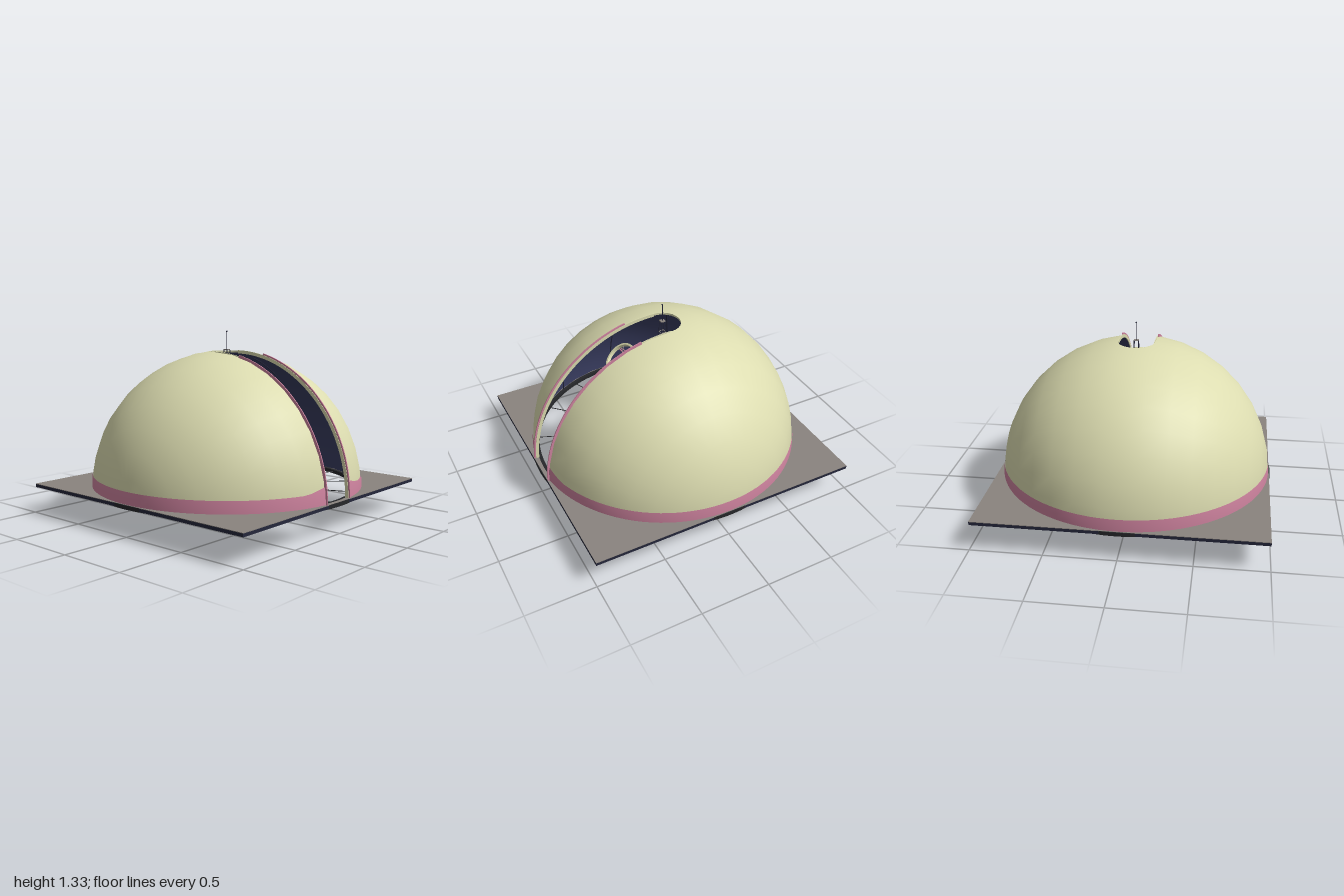
import * as THREE from 'three';

const mat = (name, color, side = THREE.FrontSide) => {
  const m = new THREE.MeshStandardMaterial({ color, side });
  m.name = name;
  return m;
};

export function createModel() {
  const cream = mat('cream', 0xdcdcb0, THREE.DoubleSide);
  const pink = mat('pink', 0xd084a0);
  const navy = mat('navy', 0x3a3e62);
  const darkNavy = mat('darkNavy', 0x25273c);
  const black = mat('charcoal', 0x26272a);
  const gray = mat('gray', 0x8a847f);
  const green = mat('green', 0x4f9a6c);
  const yellow = mat('yellow', 0xc8982c);

  const root = new THREE.Group();
  root.name = 'observatory';
  const add = (name, geo, material, parent = root, x = 0, y = 0, z = 0) => {
    const m = new THREE.Mesh(geo, material);
    m.name = name;
    m.position.set(x, y, z);
    parent.add(m);
    return m;
  };
  const box = (name, m, w, h, d, x, y, z, p = root) => add(name, new THREE.BoxGeometry(w, h, d), m, p, x, y, z);
  const rod = (name, m, a, b, r, p = root) => {
    const A = new THREE.Vector3(...a), B = new THREE.Vector3(...b);
    const mesh = add(name, new THREE.CylinderGeometry(r, r, A.distanceTo(B), 6), m, p);
    mesh.position.copy(A).lerp(B, 0.5);
    mesh.quaternion.setFromUnitVectors(new THREE.Vector3(0, 1, 0), B.sub(A).normalize());
    return mesh;
  };
  // Ring of rectangular section around the y axis
  const ring = (name, m, r0, r1, y0, y1, p = root, seg = 72) => {
    const pts = [[r0, y0], [r1, y0], [r1, y1], [r0, y1], [r0, y0]].map(q => new THREE.Vector2(...q));
    const g = new THREE.LatheGeometry(pts, seg).toNonIndexed();
    g.computeVertexNormals();
    return add(name, g, m, p);
  };

  const R = 0.985, RI = 0.97, CY = 0.2, S = 0.13;

  // Surface from a rule f(u, v), with normals radial to the dome centre
  const grid = (f, nu, nv, inward = false) => {
    const pos = [], nor = [], idx = [];
    for (let i = 0; i <= nu; i++) for (let j = 0; j <= nv; j++) {
      const p = f(i / nu, j / nv);
      pos.push(p.x, p.y, p.z);
      const n = p.clone().setY(p.y - CY).normalize().multiplyScalar(inward ? -1 : 1);
      nor.push(n.x, n.y, n.z);
      if (i < nu && j < nv) {
        const a = i * (nv + 1) + j, b = a + nv + 1;
        if (inward) idx.push(a, b + 1, b, a, a + 1, b + 1);
        else idx.push(a, b, b + 1, a, b + 1, a + 1);
      }
    }
    const g = new THREE.BufferGeometry();
    g.setAttribute('position', new THREE.Float32BufferAttribute(pos, 3));
    g.setAttribute('normal', new THREE.Float32BufferAttribute(nor, 3));
    g.setIndex(idx);
    return g;
  };
  const onDome = (x, a, r) => {
    const c = Math.sqrt(Math.max(0, r * r - x * x));
    return new THREE.Vector3(x, CY + c * Math.sin(a), c * Math.cos(a));
  };

  // Dome shells: two side caps and the strip behind the round end of the slit
  const shell = (name, m, r, inward) => {
    const b0 = Math.asin(S / r), span = Math.PI / 2 - b0;
    add(name + 'Left', grid((u, v) => onDome(r * Math.sin(b0 + span * u), Math.PI * v, r), 8, 18, inward), m);
    add(name + 'Right', grid((u, v) => onDome(-r * Math.sin(b0 + span * (1 - u)), Math.PI * v, r), 8, 18, inward), m);
    add(name + 'Back', grid((u, v) => {
      const x = -S * Math.cos(Math.PI * u);
      const a = Math.acos(-Math.sqrt(Math.max(0, S * S - x * x)) / Math.sqrt(r * r - x * x));
      return onDome(x, a + (Math.PI - a) * v, r);
    }, 12, 9, inward), m);
  };
  shell('domeOuter', cream, R, false);
  shell('domeInner', navy, RI, true);

  // Round end of the slit
  const edge = grid((u, v) => {
    const x = S * Math.cos(Math.PI * u), z = -S * Math.sin(Math.PI * u), r = R + (RI - R) * v;
    return new THREE.Vector3(x, CY + Math.sqrt(r * r - S * S), z);
  }, 16, 1);
  edge.computeVertexNormals();
  add('slitEnd', edge, cream);

  // Slit jambs and the raised rails along them
  const arc = (r0, r1, a1, w) => {
    const s = new THREE.Shape();
    s.absarc(0, 0, r1, 0, a1, false);
    s.absarc(0, 0, r0, a1, 0, true);
    return new THREE.ExtrudeGeometry(s, { depth: w, bevelEnabled: false, curveSegments: 18 })
      .translate(0, 0, -w / 2).rotateY(-Math.PI / 2);
  };
  for (const s of [-1, 1]) {
    add('slitJamb', arc(0.955, 0.979, Math.PI / 2, 0.006), cream, root, s * S, CY, 0);
    add('slitRail', arc(0.97, 0.991, 1.335, 0.008), pink, root, s * (S + 0.004), CY, 0);
  }

  // Painted band at the foot of the dome, rising a little beside the slit
  const phi0 = Math.asin((S + 0.005) / R);
  add('footBand', grid((u, v) => {
    const phi = phi0 + (2 * Math.PI - 2 * phi0) * u;
    const d = Math.min(phi, 2 * Math.PI - phi) - phi0;
    const h = (0.1 + 0.035 * Math.max(0, 1 - d / 0.16)) * v;
    const r = Math.sqrt((R + 0.003) ** 2 - h * h);
    return new THREE.Vector3(r * Math.sin(phi), CY + h, r * Math.cos(phi));
  }, 96, 3), pink);

  // Ribs inside the dome
  for (let k = 1; k < 12; k++) {
    const rib = add('domeRib', new THREE.TorusGeometry(0.962, 0.005, 4, 12, 1.25), darkNavy, root, 0, CY, 0);
    rib.rotation.y = -Math.PI / 2 + k * Math.PI / 6;
  }

  // Square roof plate with a round opening, and the ring beam
  const plate = (name, m, h, y) => {
    const s = new THREE.Shape([[-1, -1], [1, -1], [1, 1], [-1, 1]].map(p => new THREE.Vector2(p[0] * 0.992, p[1] * 0.992)));
    s.holes.push(new THREE.Path().absarc(0, 0, 0.965, 0, Math.PI * 2, true));
    const g = new THREE.ExtrudeGeometry(s, { depth: h, bevelEnabled: false, curveSegments: 48 }).rotateX(-Math.PI / 2);
    add(name, g, m, root, 0, y, 0);
  };
  plate('roofPlate', darkNavy, 0.022, 0.189);
  plate('roofSurface', gray, 0.004, 0.211);
  ring('ringBeam', black, 0.94, 1.0, 0.186, 0.213);

  // Observing platform, its rails, legs and the wires to the rim
  ring('platform', black, 0.43, 0.53, 0.19, 0.215);
  for (const [r, y] of [[0.425, 0.218], [0.53, 0.22], [0.53, 0.245]])
    add('handrail', new THREE.TorusGeometry(r, 0.004, 4, 72).rotateX(Math.PI / 2), yellow, root, 0, y, 0);
  add('outerHoop', new THREE.TorusGeometry(0.575, 0.003, 4, 72).rotateX(Math.PI / 2), black, root, 0, 0.2, 0);
  for (let k = 0; k < 16; k++) {
    const a = (k + 0.5) * Math.PI / 8, b = k * Math.PI / 8;
    const lx = 0.5 * Math.sin(a), lz = 0.5 * Math.cos(a);
    rod('leg', black, [lx, 0, lz], [lx, 0.2, lz], 0.006);
    const sx = Math.sin(b), sz = Math.cos(b);
    rod('spoke', black, [0.53 * sx, 0.2, 0.53 * sz], [0.96 * sx, 0.2, 0.96 * sz], 0.003);
    rod('railPost', yellow, [0.53 * sx, 0.21, 0.53 * sz], [0.53 * sx, 0.245, 0.53 * sz], 0.003);
  }
  for (let k = 0; k < 4; k++) {
    const b = k * Math.PI / 2, sx = Math.sin(b), sz = Math.cos(b);
    rod('bridge', black, [0.22 * sx, 0.2, 0.22 * sz], [0.44 * sx, 0.2, 0.44 * sz], 0.005);
  }

  // Central drum with its floor, cap and door
  add('drum', new THREE.CylinderGeometry(0.225, 0.225, 0.23, 40), black, root, 0, 0.315, 0);
  add('drumFloor', new THREE.CylinderGeometry(0.235, 0.235, 0.012, 40), pink, root, 0, 0.197, 0);
  add('drumCap', new THREE.CylinderGeometry(0.22, 0.22, 0.015, 40), cream, root, 0, 0.437, 0);
  box('doorFrame', pink, 0.08, 0.12, 0.008, 0, 0.275, 0.226);
  box('door', cream, 0.05, 0.1, 0.008, 0, 0.267, 0.229);
  for (let i = 0; i < 3; i++) box('doorBar', black, 0.02, 0.006, 0.004, -0.01, 0.24 + i * 0.027, 0.235);

  // Mount: fork arms, back panel and ball
  for (const s of [-1, 1]) {
    box('forkArm', cream, 0.03, 0.22, 0.12, s * 0.18, 0.55, 0);
    rod('pivot', black, [s * 0.14, 0.56, 0.02], [s * 0.2, 0.56, 0.02], 0.025);
  }
  box('backPanel', cream, 0.34, 0.22, 0.025, 0, 0.55, -0.13);
  add('mountBall', new THREE.SphereGeometry(0.155, 32, 20), green, root, 0, 0.53, 0.045);
  box('instrumentBox', cream, 0.04, 0.1, 0.05, -0.09, 0.56, 0.175);
  add('ballHoop', new THREE.TorusGeometry(0.122, 0.004, 6, 40), black, root, 0, 0.54, 0.145);

  // Open truss telescope, tilted towards the slit
  const scope = new THREE.Group();
  scope.name = 'telescope';
  scope.position.set(0, 0.55, -0.03);
  scope.rotation.x = 0.71;
  root.add(scope);
  ring('topRing', cream, 0.112, 0.126, 0.535, 0.56, scope, 40);
  ring('lowerRing', black, 0.105, 0.12, 0.13, 0.145, scope, 40);
  for (let k = 0; k < 8; k++) {
    const a = k * Math.PI / 4, b = a + (k % 2 ? -0.35 : 0.35);
    rod('truss', pink, [0.112 * Math.cos(a), 0.13, 0.112 * Math.sin(a)], [0.117 * Math.cos(b), 0.54, 0.117 * Math.sin(b)], 0.004, scope);
  }
  add('secondaryMirror', new THREE.CylinderGeometry(0.028, 0.028, 0.06, 16), darkNavy, scope, 0, 0.545, 0);
  for (let k = 0; k < 4; k++) {
    const a = (k + 0.5) * Math.PI / 2;
    rod('spiderVane', gray, [0.02 * Math.cos(a), 0.548, 0.02 * Math.sin(a)], [0.115 * Math.cos(a), 0.548, 0.115 * Math.sin(a)], 0.003, scope);
  }

  // Lattice mast with lightning rod
  for (const x of [-1, 1]) for (const z of [-1, 1])
    rod('mastPost', darkNavy, [x * 0.035, 0.66, z * 0.035], [x * 0.015, 1.19, z * 0.015], 0.003);
  for (const y of [0.8, 0.95, 1.1, 1.19]) {
    const w = 0.07 - (y - 0.66) * 0.075;
    for (const s of [-1, 1]) {
      box('mastBrace', gray, w, 0.005, 0.005, 0, y, s * w / 2);
      box('mastBrace', gray, 0.005, 0.005, w, s * w / 2, y, 0);
    }
  }
  box('mastTop', gray, 0.03, 0.005, 0.03, 0, 1.19, 0);
  rod('lightningRod', darkNavy, [0, 1.19, 0], [0, 1.32, 0], 0.0025);
  add('rodTip', new THREE.SphereGeometry(0.006, 8, 6), darkNavy, root, 0, 1.32, 0);

  return root;
}
